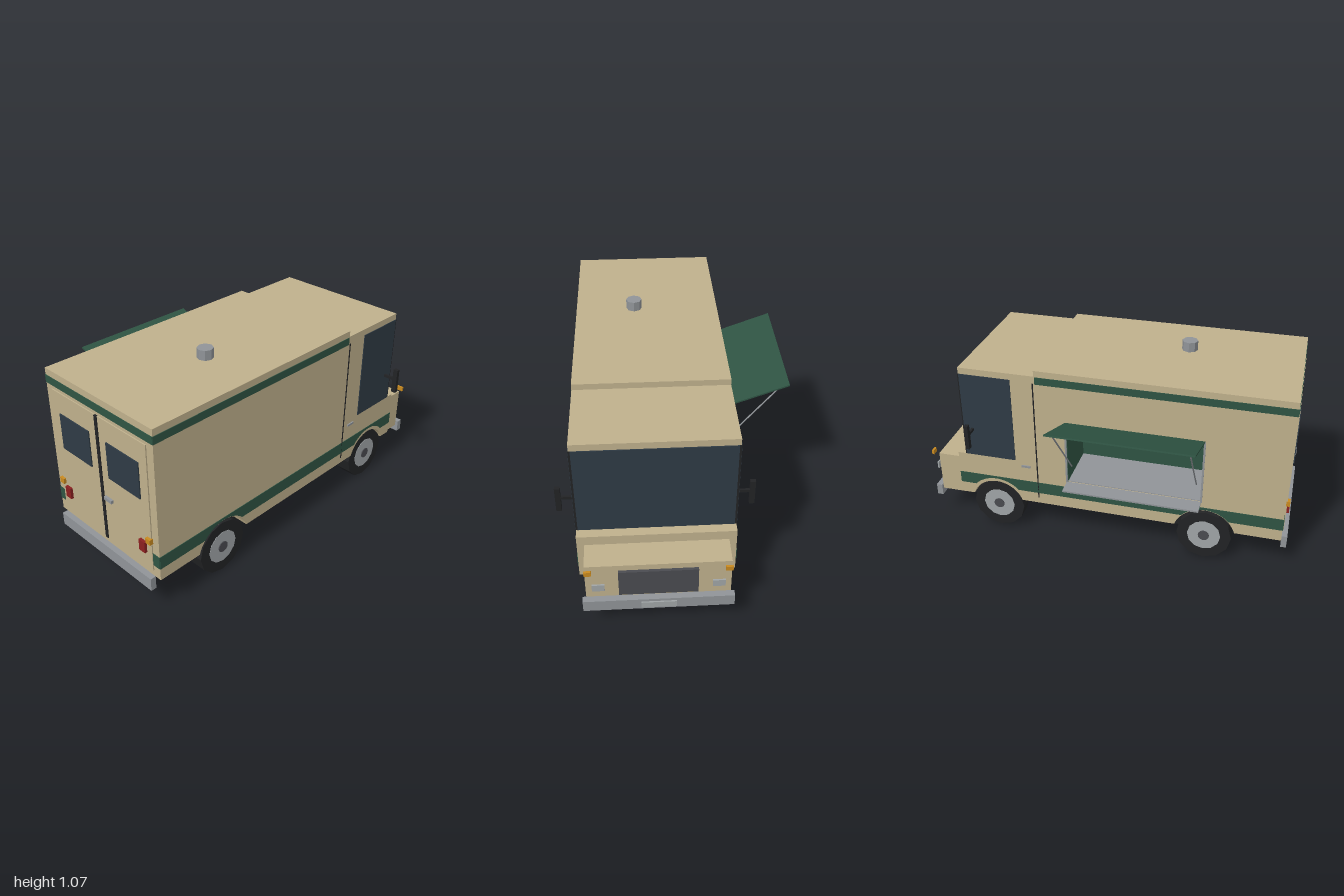
import * as THREE from 'three';

const mat = (color) => new THREE.MeshStandardMaterial({ color, flatShading: true, side: THREE.DoubleSide });

export function createModel() {
  const cream = mat(0xbfb08c), green = mat(0x2f5443), glass = mat(0x2f3b45), metal = mat(0x909498);
  const black = mat(0x222325), red = mat(0x8b2020), amber = mat(0xc98a20), rimMat = mat(0xa0a5a7), grilleMat = mat(0x4a4b50);

  const model = new THREE.Group();
  model.name = 'foodTruck';
  // The body is symmetric about its own centre line; the awning shifts it sideways
  const truck = new THREE.Group();
  truck.name = 'truck';
  truck.position.x = 0.118;
  model.add(truck);

  const W = 0.385, REAR = 0.97, AXLES = [0.565, -0.6], AXLE_Y = 0.145;

  const add = (name, geometry, material) => {
    const mesh = new THREE.Mesh(geometry, material);
    mesh.name = name;
    truck.add(mesh);
    return mesh;
  };
  // Box given by its limits on each axis
  const box = (name, material, [x0, x1], [y0, y1], [z0, z1]) => {
    const g = new THREE.BoxGeometry(x1 - x0, y1 - y0, z1 - z0);
    g.translate((x0 + x1) / 2, (y0 + y1) / 2, (z0 + z1) / 2);
    return add(name, g, material);
  };
  // Side outline (z, y) extruded across x
  const slab = (name, material, shape, x0, x1) => {
    const g = new THREE.ExtrudeGeometry(shape, { depth: x1 - x0, bevelEnabled: false, curveSegments: 10 });
    g.rotateY(-Math.PI / 2).translate(x1, 0, 0);
    return add(name, g, material);
  };
  // Wheel arch bite, drawn towards +z along the line y
  const arch = (shape, z, y, r) => {
    const a = Math.asin((y - AXLE_Y) / r);
    shape.lineTo(z - r * Math.cos(a), y);
    shape.absarc(z, AXLE_Y, r, Math.PI - a, a, true);
  };

  // Body and cab side outline
  const outline = () => {
    const s = new THREE.Shape();
    s.moveTo(-0.815, 0.195);
    arch(s, AXLES[1], 0.195, 0.152);
    arch(s, AXLES[0], 0.195, 0.168);
    [[REAR, 0.195], [REAR, 1.012], [-0.35, 1.012], [-0.35, 0.98], [-0.765, 0.98], [-0.765, 0.455], [-0.815, 0.455]]
      .forEach(([z, y]) => s.lineTo(z, y));
    s.closePath();
    return s;
  };
  // Serving side has a recess cut into it
  const H = { z0: -0.19, z1: 0.54, y0: 0.36, y1: 0.73, x: -0.085 };
  const cut = outline();
  cut.holes.push(new THREE.Path([[H.z0, H.y0], [H.z0, H.y1], [H.z1, H.y1], [H.z1, H.y0]].map((p) => new THREE.Vector2(...p))));
  slab('body', cream, outline(), H.x, W);
  slab('servingSide', cream, cut, -W, H.x);

  // Recess lining, counter, awning and struts
  const inX = [-W + 0.012, H.x], hz = [H.z0, H.z1], hy = [H.y0, H.y1], t = 0.004;
  box('recessBack', green, [H.x - t, H.x], hy, hz);
  box('recessEnd', green, inX, hy, [H.z1 - t, H.z1]);
  box('recessEnd', green, inX, hy, [H.z0, H.z0 + t]);
  box('recessFloor', metal, inX, [H.y0, H.y0 + t], hz);
  box('counter', metal, [-0.473, -W], [H.y0 - 0.003, H.y0 + 0.006], hz);
  for (const z of hz) box('hatchFrame', metal, [-W - 0.004, -W], hy, [z - 0.005, z + 0.005]);
  const awning = add('awning', new THREE.BoxGeometry(0.349, 0.008, H.z1 - H.z0), green);
  awning.position.set(-0.549, 0.79, (H.z0 + H.z1) / 2);
  awning.rotation.z = -Math.atan2(0.12, 0.328);
  for (const z of [H.z0 + 0.03, H.z1 - 0.03]) {
    const path = new THREE.LineCurve3(new THREE.Vector3(-0.68, 0.835, z), new THREE.Vector3(-W, 0.47, z));
    add('awningStrut', new THREE.TubeGeometry(path, 1, 0.004, 6), metal);
  }

  // Stripes wrapping the sides and rear
  const low = new THREE.Shape();
  low.moveTo(-0.815, 0.262);
  arch(low, AXLES[1], 0.262, 0.172);
  arch(low, AXLES[0], 0.262, 0.172);
  [[REAR, 0.262], [REAR, 0.33], [-0.815, 0.33]].forEach(([z, y]) => low.lineTo(z, y));
  low.closePath();
  for (const s of [-1, 1]) {
    const x0 = s > 0 ? W : -W - 0.003;
    slab('lowerStripe', green, low, x0, x0 + 0.003);
    box('upperStripe', green, [x0, x0 + 0.003], [0.937, 0.977], [-0.345, REAR]);
  }
  box('rearUpperStripe', green, [-W, W], [0.937, 0.977], [REAR, REAR + 0.003]);
  box('rearLowerStripe', green, [-W, W], [0.262, 0.33], [REAR, REAR + 0.003]);

  // Underside, nose and bumpers
  box('chassis', black, [-0.29, 0.29], [0.125, 0.197], [-0.86, 0.88]);
  box('nose', cream, [-0.348, 0.348], [0.165, 0.402], [-0.955, -0.81]);
  box('grille', grilleMat, [-0.19, 0.19], [0.215, 0.37], [-0.97, -0.95]);
  box('frontBumper', metal, [-0.365, 0.365], [0.13, 0.195], [-0.988, -0.955]);
  box('frontPlate', rimMat, [-0.085, 0.085], [0.145, 0.18], [-0.995, -0.985]);
  box('rearBumper', metal, [-0.348, 0.348], [0.125, 0.195], [REAR, 1]);

  // Rear doors
  box('rearDoors', cream, [-0.341, 0.341], [0.23, 0.918], [REAR, 0.976]);
  box('doorSeam', black, [-0.01, 0.01], [0.227, 0.918], [REAR, 0.98]);
  box('rearHandle', metal, [0.022, 0.077], [0.474, 0.491], [0.97, 0.99]);

  // Windscreen
  box('windscreen', glass, [-W + 0.008, W - 0.008], [0.458, 0.945], [-0.77, -0.76]);

  // Mirrored cab, lamp and wheel parts
  for (const s of [-1, 1]) {
    const sx = (a, b) => (s > 0 ? [a, b] : [-b, -a]);
    box('cabWindow', glass, sx(W - 0.01, W + 0.004), [0.458, 0.945], [-0.762, -0.48]);
    box('windscreenPillar', black, sx(W - 0.008, W + 0.002), [0.458, 0.945], [-0.769, -0.76]);
    box('cabDoorSeam', black, sx(W, W + 0.003), [0.23, 0.94], [-0.36, -0.354]);
    box('cabDoorHandle', metal, sx(W, W + 0.007), [0.42, 0.432], [-0.445, -0.395]);
    box('mirrorArm', black, sx(W, 0.46), [0.613, 0.628], [-0.718, -0.706]);
    box('mirror', black, sx(0.447, 0.473), [0.543, 0.682], [-0.722, -0.702]);
    box('rearWindow', glass, sx(0.063, 0.288), [0.612, 0.806], [0.97, 0.982]);
    box('tailLamp', red, sx(0.265, 0.306), [0.32, 0.381], [0.97, 0.99]);
    box('rearMarker', amber, sx(0.315, 0.346), [0.388, 0.417], [0.97, 0.99]);
    box('headlamp', rimMat, sx(0.255, 0.315), [0.275, 0.315], [-0.993, -0.985]);
    box('frontMarker', amber, sx(0.312, 0.347), [0.388, 0.413], [-1, -0.988]);
    for (const z of AXLES) {
      const wheel = new THREE.Group();
      wheel.name = 'wheel';
      wheel.position.set(s * 0.331, AXLE_Y, z);
      const parts = [['tyre', 0.147, 0.09, 0, black], ['rim', 0.09, 0.02, 0.037, rimMat], ['hub', 0.03, 0.012, 0.046, grilleMat]];
      for (const [name, r, w, x, m] of parts) {
        const part = new THREE.Mesh(new THREE.CylinderGeometry(r, r, w, 12).rotateZ(Math.PI / 2), m);
        part.name = name;
        part.position.x = s * x;
        wheel.add(part);
      }
      truck.add(wheel);
    }
  }

  // Roof vent
  add('roofVent', new THREE.CylinderGeometry(0.042, 0.042, 0.06, 8), metal).position.set(0.07, 1.034, 0.37);

  return model;
}
